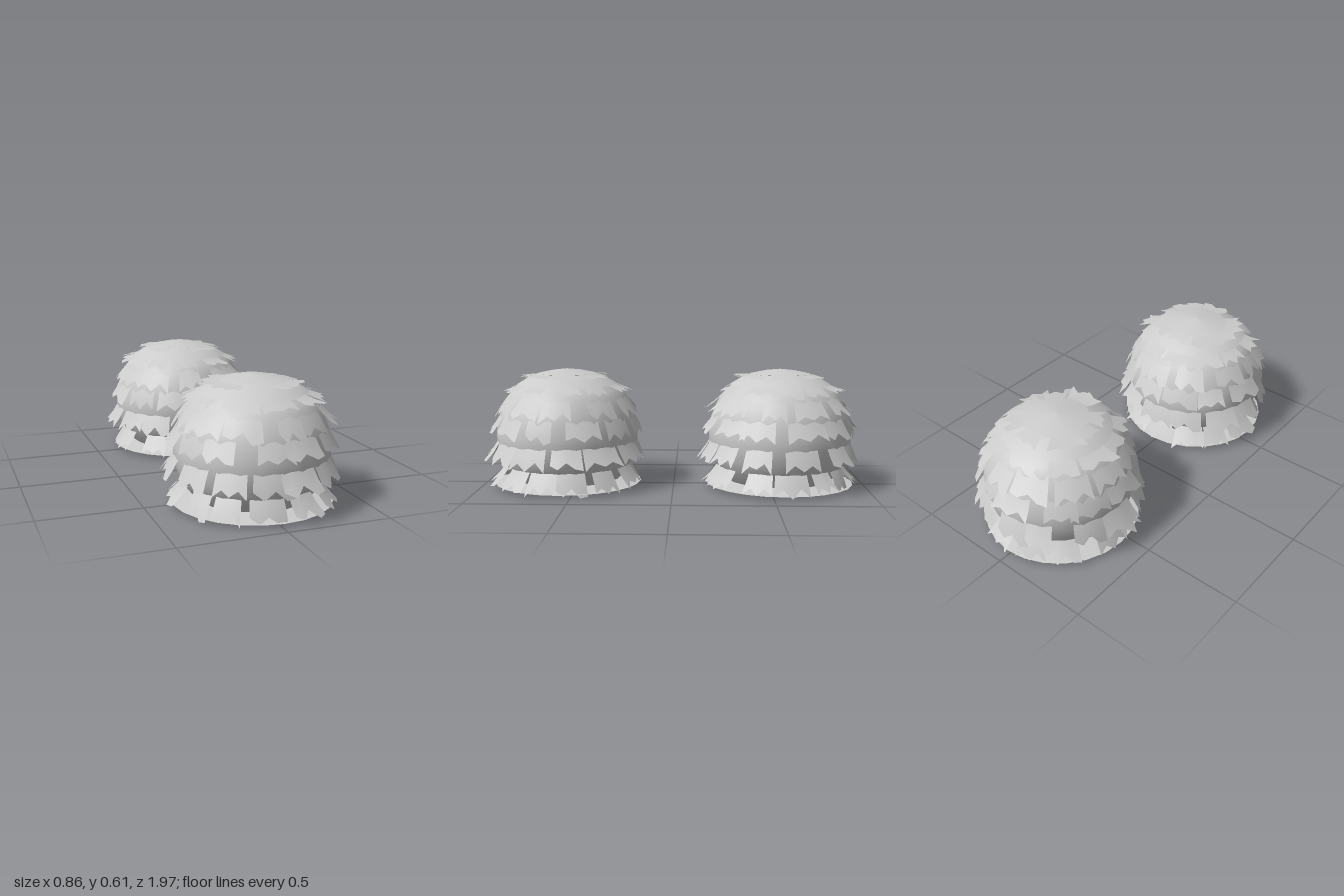
import * as THREE from 'three';
import { mergeGeometries } from 'three/addons/utils/BufferGeometryUtils.js';

const paleGrey = new THREE.MeshStandardMaterial({ color: 0xcccccc, side: THREE.DoubleSide });
paleGrey.name = 'paleGrey';

// Small repeatable random source
function seeded(seed) {
  let s = seed;
  return () => {
    s = (s * 16807) % 2147483647;
    return s / 2147483647;
  };
}

function lathe(name, points) {
  const profile = points.map(([r, y]) => new THREE.Vector2(r, y));
  const mesh = new THREE.Mesh(new THREE.LatheGeometry(profile, 24), paleGrey);
  mesh.name = name;
  return mesh;
}

// One curved flap of shag: wide root on the dome, ragged lower edge lifted outward
function tuft(angle, width, root, tip, lift, rand) {
  const cols = 4, rows = 2, pos = [], index = [];
  const ragged = [1, 0.72, 0.95, 0.68, 1];
  const offset = rand() < 0.5 ? 0 : 1;
  for (let u = 0; u <= cols; u++) {
    const a = angle + (u / cols - 0.5) * width;
    const length = ragged[(u + offset) % 5] * (0.85 + rand() * 0.2);
    for (let v = 0; v <= rows; v++) {
      const t = (v / rows) * length;
      const r = root[0] + (tip[0] - root[0]) * t + lift * t * t;
      const y = root[1] + (tip[1] - root[1]) * t + lift * 0.5 * t * t;
      pos.push(Math.sin(a) * r, Math.max(y, 0.003), Math.cos(a) * r);
    }
  }
  for (let u = 0; u < cols; u++) {
    for (let v = 0; v < rows; v++) {
      const a = u * (rows + 1) + v, c = a + rows + 1;
      index.push(a, a + 1, c, a + 1, c + 1, c);
    }
  }
  const g = new THREE.BufferGeometry();
  g.setAttribute('position', new THREE.Float32BufferAttribute(pos, 3));
  g.setIndex(index);
  g.computeVertexNormals();
  return g;
}

// Rows from crown to hem: root [r, y], tip [r, y], number of flaps
const rowSpecs = [
  [[0.15, 0.588], [0.24, 0.572], 8],
  [[0.245, 0.54], [0.335, 0.498], 11],
  [[0.295, 0.49], [0.39, 0.38], 12],
  [[0.35, 0.38], [0.405, 0.28], 12],
  [[0.362, 0.25], [0.42, 0.135], 13],
  [[0.325, 0.12], [0.395, 0.01], 13],
];

function shaggyDome(seed) {
  const dome = new THREE.Group();
  const rand = seeded(seed);

  // Hollow dome shell, open underneath, with a thin flared hem
  dome.add(
    lathe('hem', [[0.385, 0.02], [0.275, 0.04]]),
    lathe('body', [[0.275, 0.04], [0.322, 0.1], [0.352, 0.16], [0.368, 0.23], [0.37, 0.29],
      [0.36, 0.36], [0.338, 0.42], [0.31, 0.475], [0.28, 0.51], [0.245, 0.535]]),
    lathe('shoulder', [[0.262, 0.533], [0.21, 0.565], [0.15, 0.589]]),
    lathe('crown', [[0.155, 0.59], [0.08, 0.606], [0, 0.615]]),
  );

  // Overlapping rows of flaps
  rowSpecs.forEach(([root, tip, count], row) => {
    const flaps = [];
    const step = (Math.PI * 2) / count;
    const start = rand() * step;
    for (let i = 0; i < count; i++) {
      const angle = start + (i + (rand() - 0.5) * 0.4) * step;
      const width = step * (0.65 + rand() * 0.4);
      const lift = (rand() - 0.45) * 0.045;
      flaps.push(tuft(angle, width, root, tip, lift, rand));
    }
    const mesh = new THREE.Mesh(mergeGeometries(flaps), paleGrey);
    mesh.name = 'shagRow' + (row + 1);
    dome.add(mesh);
  });
  return dome;
}

export function createModel() {
  const model = new THREE.Group();
  model.name = 'shaggyDomePair';
  [['frontDome', 0.56, 4711], ['backDome', -0.555, 9203]].forEach(([name, z, seed]) => {
    const dome = shaggyDome(seed);
    dome.name = name;
    dome.position.set(0.01, 0, z);
    model.add(dome);
  });
  return model;
}
